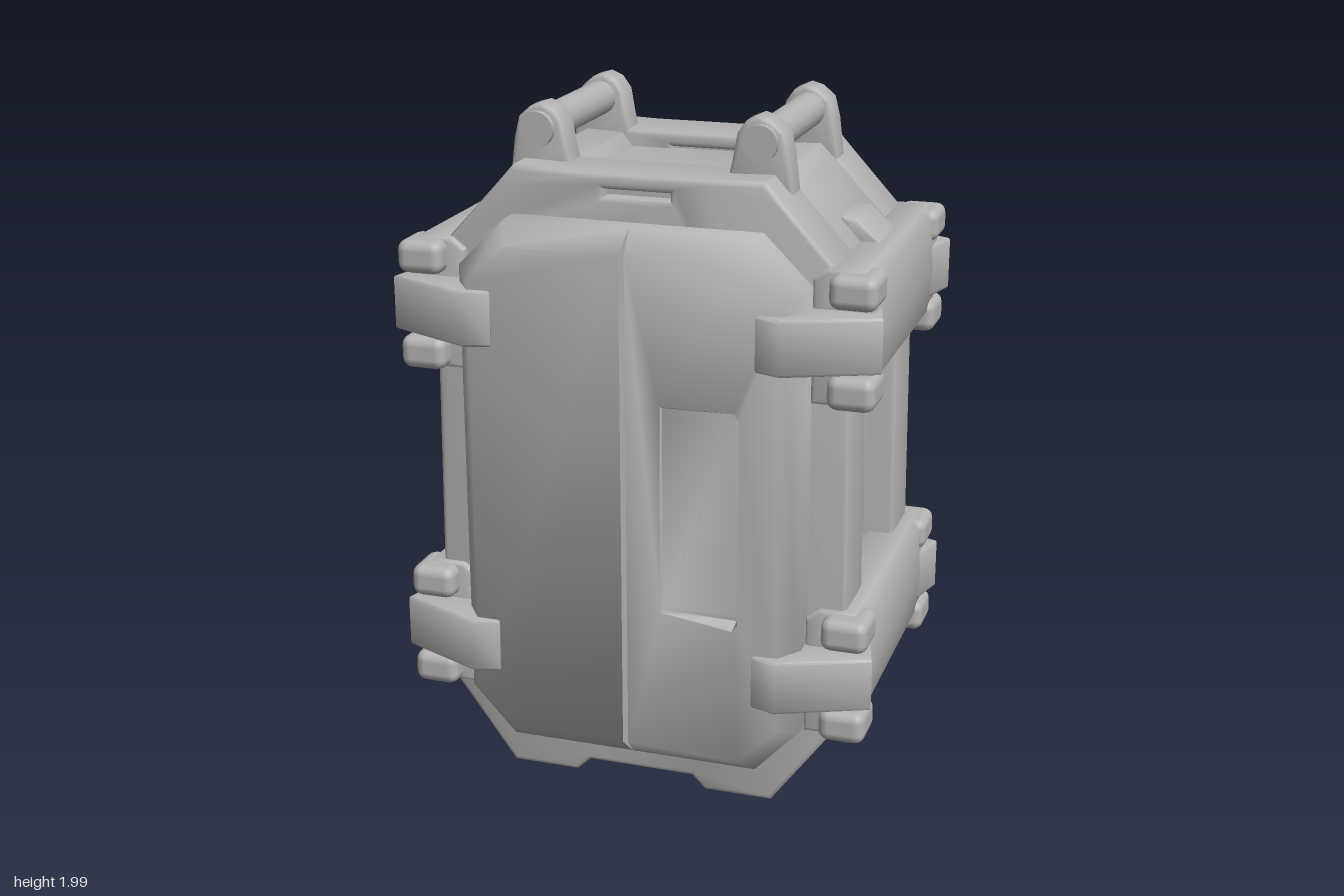
import * as THREE from 'three';
import { toCreasedNormals } from 'three/addons/utils/BufferGeometryUtils.js';
import { RoundedBoxGeometry } from 'three/addons/geometries/RoundedBoxGeometry.js';

const grey = new THREE.MeshStandardMaterial({ color: 0xb4b4b4 });
grey.name = 'plainGrey';

const vecs = (pts) => pts.map(([x, y]) => new THREE.Vector2(x, y));
// Closes a right-hand outline with its mirror image
const mirrored = (pts) => [...pts, ...pts.map(([x, y]) => [-x, y]).reverse()];

// Outline extruded from z0 to z1, with the bevel kept inside the outline
function extrude(pts, z0, z1, bevel, hole) {
  const shape = new THREE.Shape(vecs(pts));
  if (hole) shape.holes.push(new THREE.Path(vecs(hole)));
  const geo = new THREE.ExtrudeGeometry(shape, {
    depth: z1 - z0 - 2 * bevel, bevelEnabled: true, bevelThickness: bevel,
    bevelSize: bevel, bevelOffset: -bevel, bevelSegments: 2,
  });
  geo.translate(0, 0, z0 + bevel);
  return toCreasedNormals(geo, 0.85);
}

// Skin through rings of equal point count, capped at the last ring
function loft(rings, sx) {
  if (sx < 0) rings = rings.map((r) => r.map(([x, y, z]) => [-x, y, z]).reverse());
  const out = [], n = rings[0].length;
  for (let k = 0; k + 1 < rings.length; k++) {
    for (let i = 0; i < n; i++) {
      const j = (i + 1) % n, a = rings[k], b = rings[k + 1];
      out.push(...a[i], ...a[j], ...b[j], ...a[i], ...b[j], ...b[i]);
    }
  }
  const cap = rings[rings.length - 1];
  for (let i = 1; i + 1 < n; i++) out.push(...cap[0], ...cap[i], ...cap[i + 1]);
  const geo = new THREE.BufferGeometry();
  geo.setAttribute('position', new THREE.Float32BufferAttribute(out, 3));
  return toCreasedNormals(geo, 1.05);
}

function add(parent, name, geo) {
  const mesh = new THREE.Mesh(geo, grey);
  mesh.name = name;
  parent.add(mesh);
  return mesh;
}

// Door leaf; the recessed one has a grip pocket that deepens outward
function doorLeaf(sx, pocket) {
  const edge = [[0, 0.14], [0.37, 0.14], [0.5, 0.28], [0.5, 1.57], [0.36, 1.71], [0, 1.71]];
  const face = [[0.008, 0.2, 0.525], [0.34, 0.2, 0.54], [0.45, 0.31, 0.53],
    [0.45, 1.54, 0.53], [0.33, 1.65, 0.54], [0.008, 1.65, 0.525]];
  const rings = [0.3, 0.46].map((z) => edge.map(([x, y]) => [x, y, z]));
  rings.push(face);
  if (pocket) {
    const rim = [[0.11, 0.63], [0.32, 0.6], [0.335, 0.62], [0.335, 1.22], [0.32, 1.24], [0.11, 1.24]];
    rings.push(rim.map(([x, y]) => [x, y, 0.535]));
    rings.push(rim.map(([x, y]) => [
      0.22 + (x - 0.22) * 0.96, 0.92 + (y - 0.92) * 0.98, x < 0.2 ? 0.525 : 0.475]));
  }
  return loft(rings, sx);
}

// Everything on the front and the +x side; the other half is this turned round
function buildHalf() {
  const half = new THREE.Group();

  // End frame with feet and a small slot under the top edge
  const frame = mirrored([[0.16, 0.05], [0.2, 0.01], [0.4, 0.01], [0.59, 0.27], [0.612, 0.64],
    [0.605, 1.25], [0.565, 1.62], [0.4, 1.8], [0.36, 1.845], [0.2, 1.84]]);
  const slot = [[-0.095, 1.775], [0.095, 1.775], [0.095, 1.795], [-0.095, 1.795]];
  add(half, 'endFrame', extrude(frame, 0.2, 0.4, 0.015, slot));
  add(half, 'slotBack', new THREE.BoxGeometry(0.24, 0.05, 0.14)).position.set(0, 1.785, 0.29);

  // Pair of doors
  add(half, 'recessedDoor', doorLeaf(1, true));
  add(half, 'plainDoor', doorLeaf(-1, false));

  // Side bands, their end knobs and the corner clamps
  for (const y of [0, -0.985]) {
    const band = [[0.5, 1.25], [0.62, 1.25], [0.665, 1.32], [0.675, 1.44], [0.668, 1.6],
      [0.64, 1.63], [0.54, 1.63], [0.5, 1.6]];
    add(half, 'sideBand', extrude(band, -0.42, 0.42, 0.012)).position.y = y;
    for (const sz of [1, -1]) {
      for (const ky of [1.578, 1.3]) {
        const knob = add(half, 'bandKnob', new RoundedBoxGeometry(0.135, 0.096, 0.15, 2, 0.03));
        knob.position.set(0.62, ky + y, 0.4 * sz);
      }
      const plan = [[0.665, 0.31], [0.703, 0.455], [0.45, 0.565], [0.378, 0.54], [0.4, 0.43], [0.56, 0.31]];
      const clamp = extrude(plan.map(([x, z]) => [x, z * sz]), 0, 0.158, 0.008);
      clamp.rotateX(Math.PI / 2);
      add(half, 'cornerClamp', clamp).position.y = 1.52 + y;
    }
  }

  // Small ridge on the shoulder
  const ridge = [[0.47, 1.62], [0.62, 1.62], [0.54, 1.69], [0.5, 1.695]];
  add(half, 'shoulderRidge', extrude(ridge, -0.1, 0.1, 0.01));

  // Top handle: two posts and a rod
  const post = [[0.22, 1.8], [0.41, 1.78], [0.395, 1.9], [0.38, 1.96], [0.345, 1.99], [0.31, 2.0],
    [0.275, 1.985], [0.25, 1.95], [0.238, 1.88]];
  add(half, 'handlePost', extrude(post, 0.2, 0.298, 0.014));
  add(half, 'handlePost', extrude(post, -0.298, -0.2, 0.014));
  const rod = new THREE.CylinderGeometry(0.05, 0.05, 0.636, 16);
  rod.rotateX(Math.PI / 2);
  add(half, 'handleRod', rod).position.set(0.32, 1.93, 0);
  return half;
}

export function createModel() {
  const model = new THREE.Group();
  model.name = 'cargoPod';

  // Core between the end frames, stepped in at the side windows, base and top
  const core = mirrored([[0.36, 0.1], [0.43, 0.1], [0.56, 0.28], [0.56, 0.58], [0.47, 0.7],
    [0.47, 1.18], [0.56, 1.3], [0.562, 1.62], [0.4, 1.795], [0.36, 1.835], [0.25, 1.83], [0.22, 1.79]]);
  add(model, 'core', extrude(core, -0.22, 0.22, 0.005));

  // Slanted inner faces of the side windows
  for (const sx of [1, -1]) {
    for (const sz of [1, -1]) {
      const plan = [[0.46, 0.2], [0.52, 0.2], [0.6, 0.27], [0.6, 0.38], [0.46, 0.38]];
      const jamb = extrude(plan.map(([x, z]) => [x * sx, z * sz]), 0, 0.7, 0.005);
      jamb.rotateX(Math.PI / 2);
      add(model, 'windowJamb', jamb).position.y = 1.3;
    }
  }

  for (const turn of [0, Math.PI]) {
    const half = buildHalf();
    half.name = turn ? 'backHalf' : 'frontHalf';
    half.rotation.y = turn;
    model.add(half);
  }
  return model;
}
